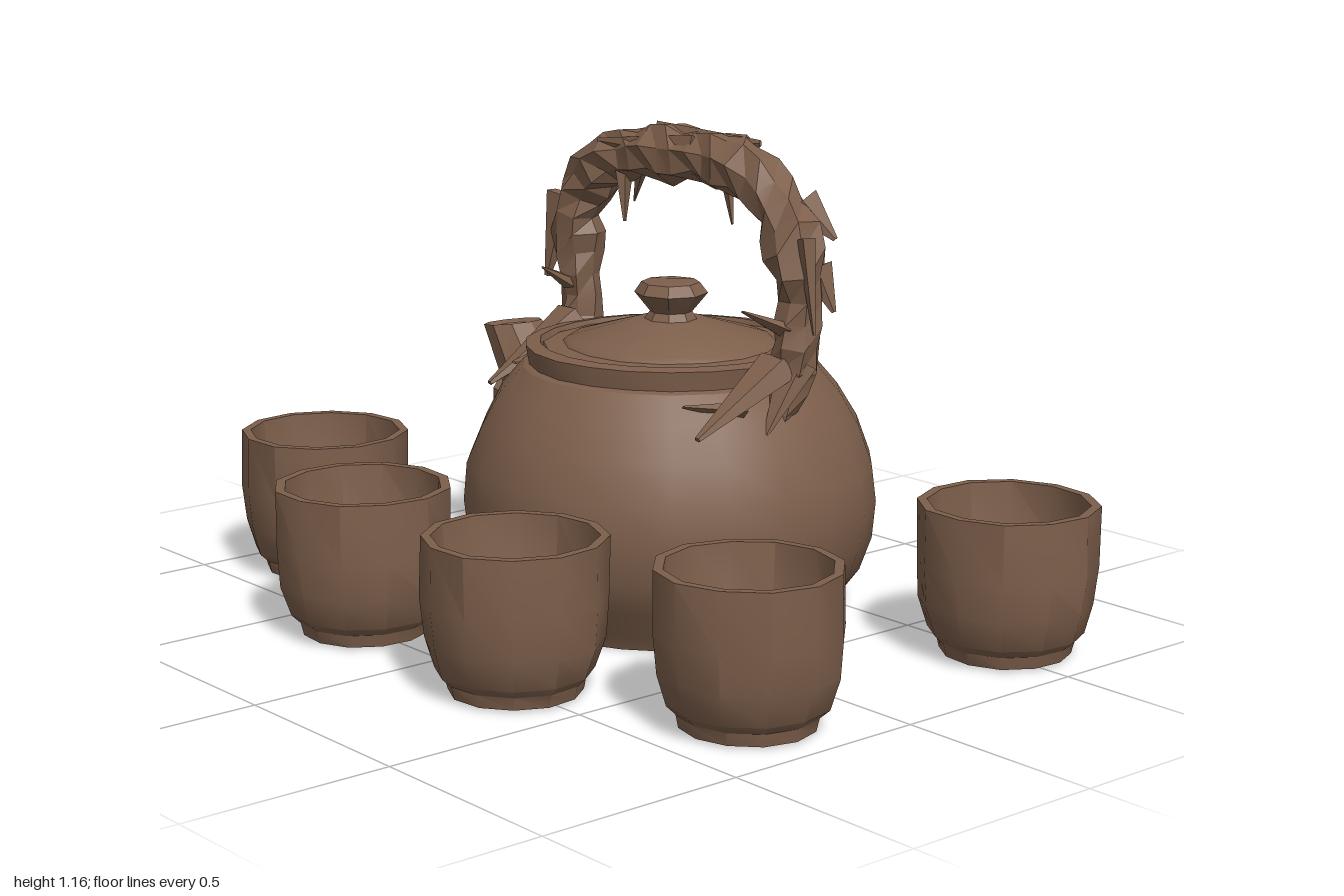
import * as THREE from 'three';
import { toCreasedNormals } from 'three/addons/utils/BufferGeometryUtils.js';

const clay = new THREE.MeshStandardMaterial({ color: 0x7d5f4b });
clay.name = 'brown clay';
const V = (x, y, z) => new THREE.Vector3(x, y, z);

function part(name, geometry, crease = 0.55) {
  const mesh = new THREE.Mesh(toCreasedNormals(geometry, crease), clay);
  mesh.name = name;
  return mesh;
}

// Round part turned from a [radius, height] profile, with a slight hand-made wobble
function turned(name, profile, sides, wobble, phase = 0) {
  const g = new THREE.LatheGeometry(profile.map(p => new THREE.Vector2(...p)), sides, phase);
  const p = g.attributes.position;
  for (let i = 0; i < p.count; i++) {
    const x = p.getX(i), y = p.getY(i), z = p.getZ(i);
    const s = 1 + wobble * Math.sin(17 * x + 23 * y + 3 * phase) * Math.cos(19 * z - 11 * y);
    p.setXYZ(i, x * s, y, z * s);
  }
  return part(name, g);
}

// Loft through rings given by a lower point, an upper point and a half width in z
function loft(name, rings, sides) {
  const pos = [], index = [];
  rings.forEach(([lx, ly, ux, uy, w], r) => {
    for (let i = 0; i < sides; i++) {
      const t = i / sides * Math.PI * 2, c = Math.cos(t) / 2;
      pos.push((lx + ux) / 2 + c * (ux - lx), (ly + uy) / 2 + c * (uy - ly), Math.sin(t) * w);
      if (r === rings.length - 1) continue;
      const a = r * sides + i, b = r * sides + (i + 1) % sides;
      index.push(a, a + sides, b, b, a + sides, b + sides);
    }
  });
  const g = new THREE.BufferGeometry();
  g.setAttribute('position', new THREE.Float32BufferAttribute(pos, 3));
  g.setIndex(index);
  return part(name, g);
}

// Tapered splinter of bark from a to b
function strand(a, b, radius, flat = 0.5) {
  const g = new THREE.CylinderGeometry(radius * 0.15, radius, a.distanceTo(b), 5, 2);
  g.scale(1, 1, flat);
  const m = part('barkStrand', g, 0.2);
  m.position.copy(a).add(b).multiplyScalar(0.5);
  m.quaternion.setFromUnitVectors(V(0, 1, 0), b.clone().sub(a).normalize());
  return m;
}

function makeHandle() {
  const handle = new THREE.Group();
  handle.name = 'handle';
  const path = [[-0.35, 0.5, -0.2], [-0.37, 0.62, -0.22], [-0.385, 0.76, -0.23], [-0.395, 0.9, -0.23],
    [-0.33, 1.02, -0.24], [-0.2, 1.075, -0.245], [0, 1.09, -0.25], [0.19, 1.08, -0.245],
    [0.32, 1.01, -0.24], [0.39, 0.89, -0.23], [0.4, 0.76, -0.23], [0.38, 0.62, -0.22], [0.35, 0.5, -0.2]];
  const curve = new THREE.CatmullRomCurve3(path.map(p => V(...p)));
  const rings = 34, sides = 7;
  const g = new THREE.TubeGeometry(curve, rings, 0.062, sides);
  const p = g.attributes.position, v = V();
  for (let i = 0; i < p.count; i++) {
    const ring = Math.floor(i / (sides + 1)), side = i % (sides + 1) % sides;
    const c = curve.getPointAt(ring / rings);
    const knots = 1 + 0.1 * Math.sin(ring * 1.3) + 0.16 * Math.sin(ring * 2.1 + side * 4.3);
    const foot = Math.min(ring, rings - ring) < 7 ? 0.85 : 1.05;
    v.fromBufferAttribute(p, i).sub(c).multiplyScalar(knots * foot).add(c);
    p.setXYZ(i, v.x, v.y, v.z);
  }
  handle.add(part('twistedBark', g, 0.3));

  // Splayed roots and peeling bark on both legs
  for (const s of [-1, 1]) {
    handle.add(
      strand(V(s * 0.37, 0.65, -0.19), V(s * 0.38, 0.52, 0.06), 0.06, 0.7),
      strand(V(s * 0.36, 0.56, -0.09), V(s * 0.31, 0.58, 0.04), 0.045),
      strand(V(s * 0.4, 0.66, -0.22), V(s * 0.41, 0.51, -0.12), 0.055),
      strand(V(s * 0.43, 0.95, -0.22), V(s * 0.48, 0.74, -0.2), 0.05),
      strand(V(s * 0.42, 0.88, -0.26), V(s * 0.46, 0.78, -0.28), 0.04),
      strand(V(s * 0.39, 0.74, -0.19), V(s * 0.36, 0.79, -0.09), 0.035),
      strand(V(s * 0.36, 1.02, -0.27), V(s * 0.43, 0.94, -0.31), 0.045));
  }
  // Shreds hanging from the grip
  handle.add(
    strand(V(-0.22, 1.05, -0.23), V(-0.205, 0.91, -0.22), 0.04),
    strand(V(-0.2, 1.04, -0.27), V(-0.24, 0.95, -0.28), 0.03),
    strand(V(0.14, 1.06, -0.24), V(0.17, 0.95, -0.23), 0.035),
    strand(V(-0.1, 1.11, -0.24), V(0.22, 1.14, -0.27), 0.055),
    strand(V(0.05, 1.1, -0.22), V(-0.28, 1.1, -0.2), 0.05));
  return handle;
}

function makeTeapot() {
  const pot = new THREE.Group();
  pot.name = 'teapot';
  const body = turned('body', [[0, 0.005], [0.39, 0.005], [0.405, 0.04], [0.455, 0.11], [0.485, 0.19], [0.495, 0.28],
    [0.485, 0.37], [0.45, 0.46], [0.405, 0.54], [0.355, 0.6], [0.338, 0.605], [0.345, 0.65], [0.31, 0.655],
    [0.3, 0.625], [0.28, 0.62]], 22, 0.008);
  const lid = turned('lid', [[0.31, 0.625], [0.3, 0.645], [0.255, 0.65], [0.245, 0.66], [0.09, 0.705], [0, 0.71]], 16, 0.012);
  const knob = turned('knob', [[0.065, 0.7], [0.05, 0.725], [0.088, 0.77], [0.07, 0.795], [0, 0.803]], 8, 0.04);
  const spout = loft('spout', [[-0.4, 0.2, -0.34, 0.56, 0.15], [-0.5, 0.28, -0.43, 0.515, 0.125],
    [-0.585, 0.44, -0.475, 0.555, 0.085], [-0.68, 0.595, -0.535, 0.615, 0.075],
    [-0.655, 0.59, -0.555, 0.605, 0.05], [-0.54, 0.47, -0.49, 0.5, 0.03], [-0.515, 0.485, -0.515, 0.485, 0]], 9);
  for (const m of [body, lid, knob, spout]) {
    m.position.z = -0.19;
    pot.add(m);
  }
  pot.add(makeHandle());
  return pot;
}

export function createModel() {
  const model = new THREE.Group();
  model.name = 'teaSet';
  model.add(makeTeapot());

  // Six handleless cups around the pot
  const cup = [[0, 0.01], [0.15, 0.01], [0.157, 0.04], [0.178, 0.06], [0.2, 0.13], [0.208, 0.22], [0.207, 0.36],
    [0.185, 0.36], [0.178, 0.24], [0.155, 0.14], [0.12, 0.085], [0, 0.08]];
  const spots = [[-0.79, -0.525], [0.785, -0.525], [-0.79, 0.268], [0.785, 0.27], [-0.287, 0.505], [0.285, 0.505]];
  spots.forEach(([x, z], i) => {
    const m = turned('cup', cup, 12, 0.018, i * 0.7);
    m.position.set(x, 0, z);
    model.add(m);
  });
  return model;
}
